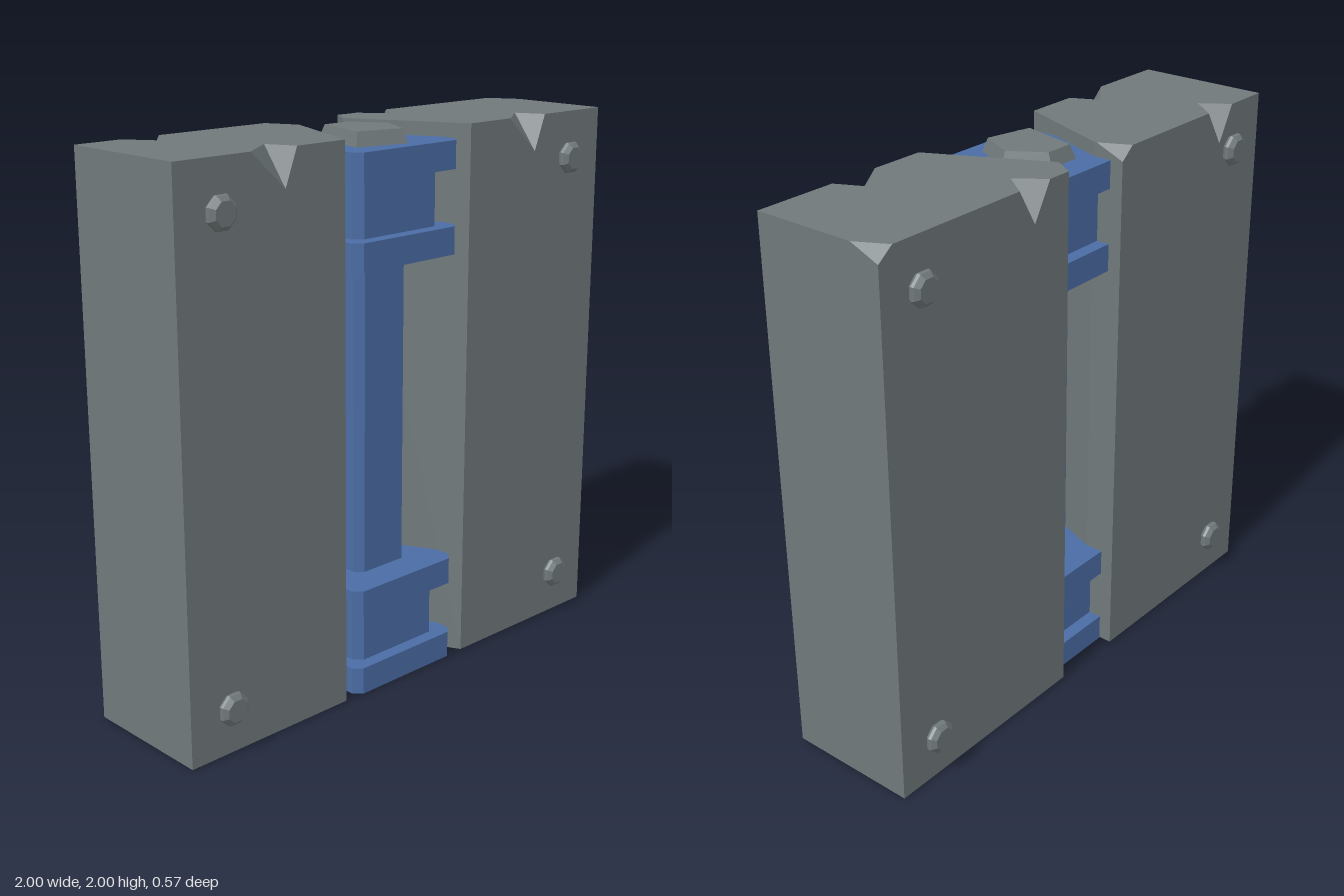
import * as THREE from 'three';

const stone = new THREE.MeshStandardMaterial({ color: 0x70797b });
stone.name = 'grey stone';
const blue = new THREE.MeshStandardMaterial({ color: 0x4b6da5 });
blue.name = 'blue metal';

const at = ([x, z], y) => new THREE.Vector3(x, y, z);

// Flat-shaded geometry from planar loops, counter-clockwise seen from outside
function fromFaces(faces) {
  const pos = [];
  for (const loop of faces) {
    const n = new THREE.Vector3();
    loop.forEach((p, i) => n.add(p.clone().cross(loop[(i + 1) % loop.length])));
    const [ax, ay, az] = n.toArray().map(Math.abs);
    const flat = loop.map((p) =>
      ax >= ay && ax >= az ? new THREE.Vector2(p.y, p.z)
        : ay >= az ? new THREE.Vector2(p.x, p.z) : new THREE.Vector2(p.x, p.y));
    for (const [i, j, k] of THREE.ShapeUtils.triangulateShape(flat, [])) {
      const [a, b, c] = [loop[i], loop[j], loop[k]];
      const facing = b.clone().sub(a).cross(c.clone().sub(a)).dot(n);
      for (const p of facing > 0 ? [a, b, c] : [a, c, b]) pos.push(p.x, p.y, p.z);
    }
  }
  const g = new THREE.BufferGeometry();
  g.setAttribute('position', new THREE.Float32BufferAttribute(pos, 3));
  g.computeVertexNormals();
  return g;
}

function add(parent, name, geometry, material) {
  const m = new THREE.Mesh(geometry, material);
  m.name = name;
  parent.add(m);
  return m;
}

// Upright prism over a plan of [x, z] points, optionally with a smaller top
function prism(plan, y0, y1, topPlan = plan) {
  const lo = plan.map((p) => at(p, y0)), hi = topPlan.map((p) => at(p, y1));
  const walls = lo.map((p, i) => {
    const j = (i + 1) % lo.length;
    return [p, lo[j], hi[j], hi[i]];
  });
  return fromFaces([...walls, hi, [...lo].reverse()]);
}

// Slab with V-shaped chips along the top edges and one broken corner
function chippedSlab(plan, notches, corner) {
  const base = 0.003, top = 2, n = plan.length, faces = [], rim = [];
  plan.forEach((p, i) => {
    const j = (i + 1) % n, q = plan[j], wall = [at(p, base), at(q, base)], upper = [];
    if (i === corner.index) {
      upper.push(at(p, corner.y), at(corner.after, top));
      rim.push(at(corner.after, top));
    } else {
      upper.push(at(p, top));
      rim.push(at(p, top));
    }
    const c = notches[i];
    if (c) {
      const A = at([c.from, p[1]], top), B = at([c.to, p[1]], top);
      const P = at([c.mid, c.inner], top), Q = at([c.mid, p[1]], 1.87);
      upper.push(A, Q, B);
      rim.push(A, P, B);
      faces.push([A, Q, P], [P, Q, B]);
    }
    if (j === corner.index) {
      upper.push(at(corner.before, top), at(q, corner.y));
      rim.push(at(corner.before, top));
    } else upper.push(at(q, top));
    faces.push([...wall, ...upper.reverse()]);
  });
  faces.push(rim, plan.map((p) => at(p, base)).reverse());
  const k = corner;
  faces.push([at(k.before, top), at(plan[k.index], k.y), at(k.after, top)]);
  return fromFaces(faces);
}

// Rectangle with cut corners, centred on the column axis
function cutRect(w, d, c = 0.03) {
  const z0 = 0.025;
  return [[-w + c, d], [w - c, d], [w, d - c], [w, -d + c],
    [w - c, -d], [-w + c, -d], [-w, -d + c], [-w, d - c]].map(([x, z]) => [x, z + z0]);
}

export function createModel() {
  const model = new THREE.Group();
  model.name = 'stoneGatePillar';

  // Two stone slabs
  add(model, 'rightSlab', chippedSlab(
    [[-1, 0.25], [-0.305, 0.25], [-0.16, -0.13], [-0.16, -0.25], [-1, -0.25]],
    {
      0: { from: -0.7, to: -0.51, mid: -0.56, inner: 0.15 },
      3: { from: -0.67, to: -0.82, mid: -0.75, inner: -0.15 },
    },
    { index: 3, y: 1.955, before: [-0.16, -0.14], after: [-0.215, -0.25] }), stone);
  add(model, 'leftSlab', chippedSlab(
    [[0.295, 0.25], [1, 0.25], [1, -0.25], [0.13, -0.25], [0.08, -0.17]],
    {
      0: { from: 0.5, to: 0.69, mid: 0.64, inner: 0.15 },
      2: { from: 0.375, to: 0.225, mid: 0.3, inner: -0.15 },
    },
    { index: 2, y: 1.955, before: [1, -0.14], after: [0.94, -0.25] }), stone);

  // Blue column: collars, necks and shaft
  const column = new THREE.Group();
  column.name = 'column';
  model.add(column);
  for (const y of [0, 0.3, 1.55, 1.85])
    add(column, 'collar', prism(cutRect(0.25, 0.225), y, y + 0.1), blue);
  for (const y of [0.1, 1.65])
    add(column, 'neck', prism(cutRect(0.2, 0.175), y, y + 0.2), blue);
  add(column, 'shaft', prism(cutRect(0.125, 0.1), 0.4, 1.55), blue);

  // Five-sided stone on top of the column
  const gem = [[-0.16, 0.15], [0.04, 0.195], [0.12, 0.04], [0.03, -0.1], [-0.1, -0.1]];
  const gemTop = gem.map(([x, z]) => [-0.015 + (x + 0.015) * 0.87, 0.04 + (z - 0.04) * 0.87]);
  add(column, 'capStone', prism(gem, 1.95, 2, gemTop), stone);

  // Eight-sided rivets on both faces
  const profile = [[0.054, 0], [0.061, 0.012], [0.058, 0.022], [0.042, 0.037], [0, 0.037]]
    .map(([r, h]) => new THREE.Vector2(r, h));
  const rivet = new THREE.LatheGeometry(profile, 8, Math.PI / 8)
    .rotateX(Math.PI / 2).toNonIndexed();
  rivet.computeVertexNormals();
  for (const x of [-0.83, 0.83])
    for (const y of [0.17, 1.83])
      for (const side of [1, -1]) {
        const m = add(model, 'rivet', rivet, stone);
        m.position.set(x, y, side * 0.25);
        if (side < 0) m.rotation.y = Math.PI;
      }

  return model;
}
